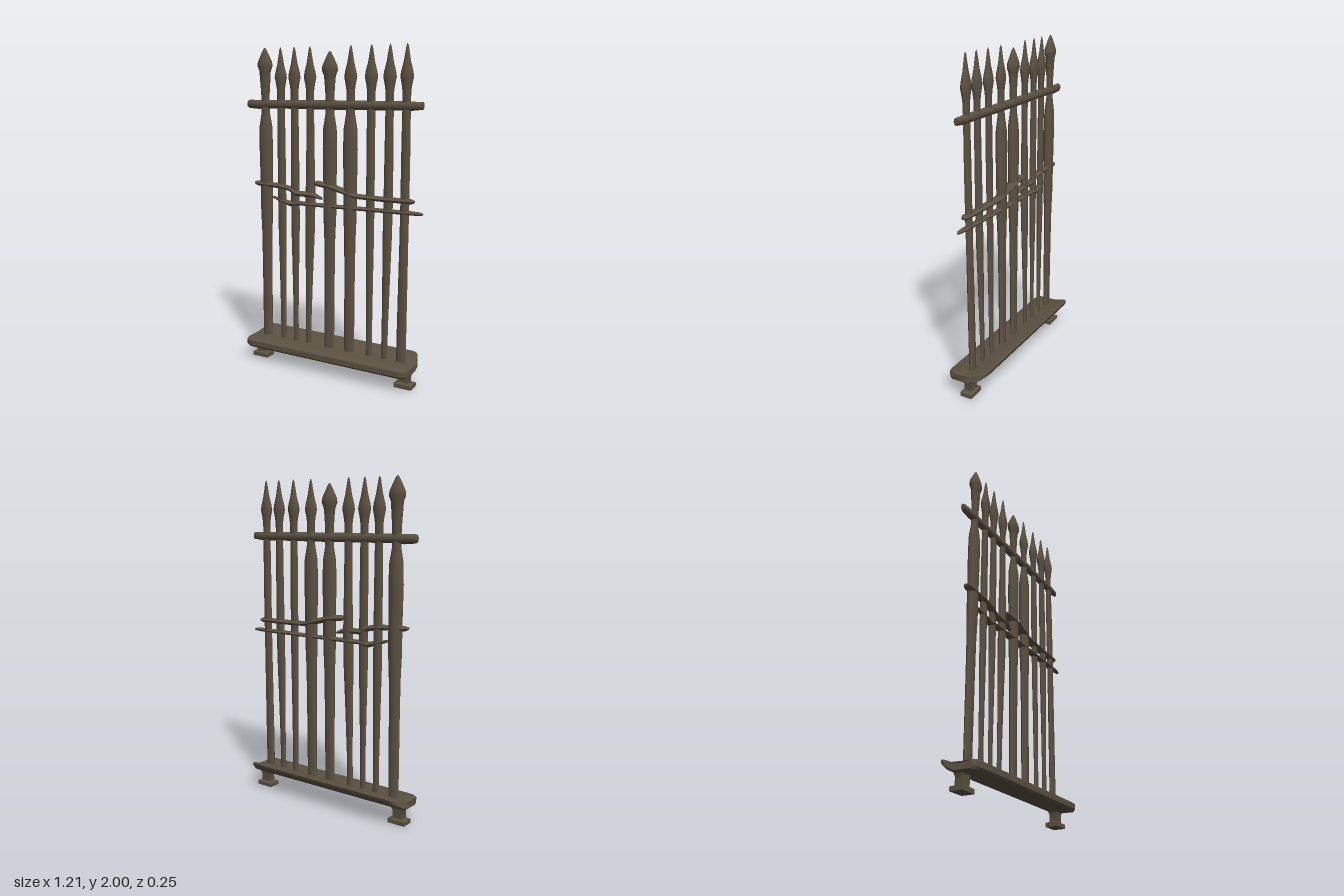
import * as THREE from 'three';
import { toCreasedNormals } from 'three/addons/utils/BufferGeometryUtils.js';

// Skin a list of equal-length rings and close both ends
function loft(rings, crease = 0.9) {
  const n = rings[0].length, pos = [], idx = [];
  rings.forEach(r => r.forEach(p => pos.push(...p)));
  for (let i = 0; i < rings.length - 1; i++) {
    for (let j = 0; j < n; j++) {
      const a = i * n + j, b = i * n + (j + 1) % n, d = a + n, c = b + n;
      idx.push(a, d, b, b, d, c);
    }
  }
  [0, rings.length - 1].forEach(k => {
    const mid = [0, 1, 2].map(q => rings[k].reduce((s, p) => s + p[q], 0) / n);
    const m = pos.length / 3;
    pos.push(...mid);
    for (let j = 0; j < n; j++) {
      const a = k * n + j, b = k * n + (j + 1) % n;
      if (k === 0) idx.push(m, a, b); else idx.push(m, b, a);
    }
  });
  const g = new THREE.BufferGeometry();
  g.setAttribute('position', new THREE.Float32BufferAttribute(pos, 3));
  g.setIndex(idx);
  return toCreasedNormals(g, crease);
}

const angles = n => Array.from({ length: n }, (_, i) => i / n * Math.PI * 2);

// Upright post: rows of [height, half width], flattened front to back
function postGeometry(rows, bottomX, topX) {
  return loft(rows.map(([y, r]) => {
    const t = THREE.MathUtils.clamp((y - 0.14) / 1.0, 0, 1);
    const x = THREE.MathUtils.lerp(bottomX, topX, t);
    const flat = THREE.MathUtils.lerp(0.45, 0.6, t);
    return angles(12).map(a => [x + Math.cos(a) * r, y, Math.sin(a) * r * flat]);
  }));
}

// Rail: stations of [x, y, z, half height, half depth]
function railGeometry(stations, sides = 8) {
  return loft(stations.map(([x, y, z, ry, rz]) =>
    angles(sides).map(a => [x, y + Math.sin(a) * ry, z + Math.cos(a) * rz])));
}

export function createModel() {
  const group = new THREE.Group();
  const iron = new THREE.MeshStandardMaterial({ color: 0x5c5242 });
  iron.name = 'weathered iron';
  const add = (name, geometry) => {
    const mesh = new THREE.Mesh(geometry, iron);
    mesh.name = name;
    group.add(mesh);
    return mesh;
  };

  // Thick posts with a swollen middle
  const swollen = [[0.13, 0.035], [0.6, 0.036], [0.85, 0.038], [1.0, 0.044], [1.2, 0.045],
    [1.4, 0.048], [1.52, 0.045], [1.57, 0.036], [1.61, 0.029]];
  const capHead = top => [[1.72, 0.03], [1.8, 0.036], [top - 0.14, 0.04], [top - 0.11, 0.053],
    [top - 0.085, 0.05], [top - 0.04, 0.028], [top - 0.01, 0.012], [top, 0.003]];
  const spearHead = [[1.74, 0.027], [1.78, 0.033], [1.82, 0.042], [1.85, 0.037],
    [1.9, 0.023], [1.95, 0.014], [1.985, 0.008], [2.0, 0.002]];
  add('leftEndPost', postGeometry([...swollen, ...capHead(2.0)], -0.478, -0.472));
  add('centrePost', postGeometry([...swollen, ...capHead(1.97)], -0.01, -0.005));
  add('thickSpearPost', postGeometry([...swollen, ...spearHead], 0.132, 0.135));

  // Thin spear posts: bottom x, top x, lower half width, middle half width
  [
    [-0.353, -0.355, 0.021, 0.029],
    [-0.258, -0.255, 0.019, 0.03],
    [-0.165, -0.143, 0.021, 0.034],
    [0.27, 0.27, 0.021, 0.027],
    [0.373, 0.387, 0.021, 0.03],
    [0.484, 0.492, 0.031, 0.028],
  ].forEach(([b, t, low, mid], i) => {
    const shaft = [[0.13, low], [0.35, low], [0.65, (low + mid) / 2], [0.9, mid],
      [1.1, mid], [1.4, 0.028], [1.65, 0.026]];
    add('spearPost' + (i + 1), postGeometry([...shaft, ...spearHead], b, t));
  });

  // Straight top rail
  add('topRail', railGeometry([
    [-0.605, 1.658, 0, 0.021, 0.012], [-0.59, 1.658, 0, 0.026, 0.018], [-0.52, 1.655, 0, 0.028, 0.021],
    [-0.48, 1.658, 0, 0.026, 0.022], [0, 1.658, 0, 0.028, 0.023], [0.53, 1.658, 0, 0.026, 0.021],
    [0.55, 1.658, 0, 0.024, 0.018], [0.595, 1.66, 0, 0.021, 0.012]]));

  // Broken, crooked middle rails
  add('middleRailLeft', railGeometry([
    [-0.555, 1.16, 0.005, 0.008, 0.012], [-0.53, 1.157, 0.005, 0.016, 0.025], [-0.36, 1.15, 0.005, 0.017, 0.025],
    [-0.29, 1.138, 0.005, 0.017, 0.024], [-0.24, 1.112, 0.005, 0.017, 0.024],
    [-0.12, 1.11, 0.005, 0.018, 0.023], [-0.06, 1.092, 0.005, 0.008, 0.012]]));
  add('middleRailRight', railGeometry([
    [-0.115, 1.185, 0, 0.012, 0.014], [-0.09, 1.182, 0, 0.018, 0.026], [0.0, 1.172, 0, 0.02, 0.033],
    [0.08, 1.15, 0, 0.018, 0.032], [0.18, 1.124, 0, 0.016, 0.03], [0.35, 1.12, 0, 0.016, 0.026],
    [0.53, 1.12, 0, 0.016, 0.022], [0.55, 1.12, 0, 0.008, 0.012]]));
  add('lowerRail', railGeometry([
    [-0.42, 1.075, 0, 0.008, 0.01], [-0.36, 1.06, 0, 0.012, 0.018], [-0.29, 1.042, 0, 0.018, 0.022],
    [-0.22, 1.05, 0, 0.014, 0.022], [0.0, 1.05, 0, 0.013, 0.025], [0.3, 1.052, 0, 0.013, 0.022],
    [0.53, 1.053, 0, 0.013, 0.018], [0.59, 1.053, 0, 0.01, 0.012], [0.605, 1.052, 0, 0.005, 0.006]]));

  // Bent base slab, its ends rounded: profile of [z, y] from front over the top
  const slab = [[0.125, 0.105], [0.125, 0.137], [0.105, 0.15], [0.04, 0.148], [-0.04, 0.152],
    [-0.115, 0.184], [-0.13, 0.181], [-0.126, 0.16], [-0.08, 0.122], [-0.02, 0.092], [0.11, 0.09]];
  add('baseSlab', loft([[-0.58, 0.72], [-0.57, 0.88], [-0.55, 0.97], [-0.52, 1], [0.52, 1],
    [0.545, 0.97], [0.562, 0.88], [0.57, 0.72]].map(([x, s]) =>
    slab.map(([z, y]) => {
      // the raised back edge is a little shorter than the front
      const inset = z < -0.1 ? 0.965 : 1;
      return [x * inset, 0.125 + (y - 0.125) * s, z * s];
    })), 0.7));

  // Feet: square stems with flared bottoms
  [[-0.52, 'leftFoot'], [0.512, 'rightFoot']].forEach(([cx, name]) => {
    const rows = [[0, 0.056, 0.038], [0.025, 0.056, 0.038], [0.033, 0.032, 0.024],
      [0.075, 0.032, 0.023], [0.1, 0.042, 0.028]];
    add(name, loft(rows.map(([y, w, d]) =>
      [[w, -d], [w, d], [-w, d], [-w, -d]].map(([x, z]) => [cx + x, y, z])), 0.4));
  });

  return group;
}
